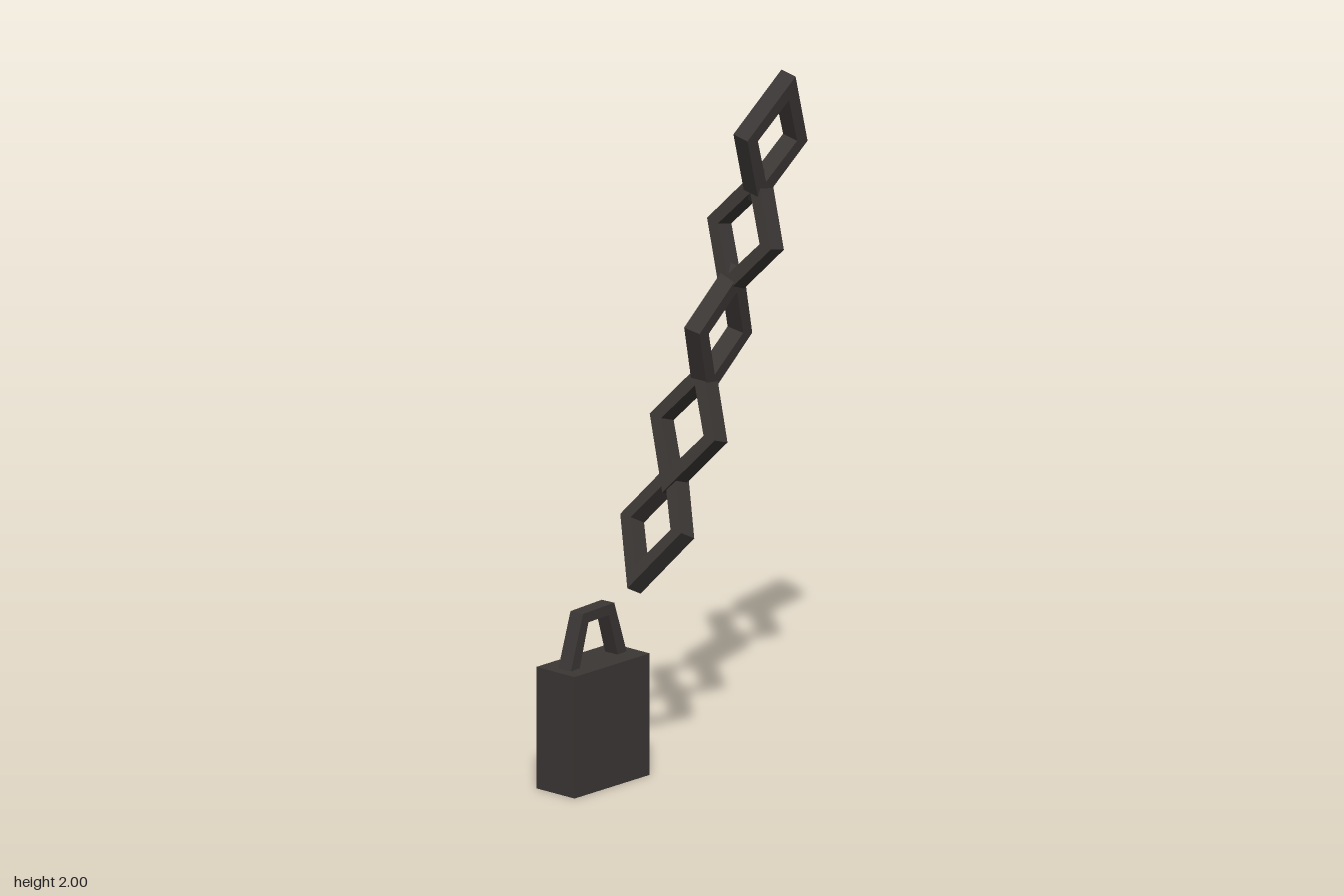
import * as THREE from 'three';

const iron = new THREE.MeshStandardMaterial({ color: 0x3b3735, flatShading: true });
const brass = new THREE.MeshStandardMaterial({ color: 0xa08038, flatShading: true });

function addMesh(parent, name, geometry, material) {
  const mesh = new THREE.Mesh(geometry, material);
  mesh.name = name;
  parent.add(mesh);
  return mesh;
}

function addBox(parent, name, size, position, material) {
  return addMesh(parent, name, new THREE.BoxGeometry(...size), material).position.set(...position);
}

// Straight extrusion centred on its own depth
function slab(shape, depth) {
  return new THREE.ExtrudeGeometry(shape, { depth, bevelEnabled: false }).translate(0, 0, -depth / 2);
}

function polygon(points) {
  return points.map(([x, y]) => new THREE.Vector2(x, y));
}

const diamond = (w, h) => polygon([[w, 0], [0, h], [-w, 0], [0, -h]]);

export function createModel() {
  const model = new THREE.Group();
  model.name = 'chainAndWeight';

  // Block-shaped weight with a brass plate on its side
  addBox(model, 'weightBody', [0.145, 0.355, 0.31], [-0.0975, 0.1775, 0.24], iron);
  addBox(model, 'sidePlate', [0.025, 0.18, 0.165], [-0.1725, 0.2, 0.2375], brass);

  // Three-sided carrying loop on top
  const loop = new THREE.Shape(polygon([
    [0.128, -0.01], [0.07, 0.155], [-0.07, 0.155], [-0.128, -0.01],
    [-0.088, -0.01], [-0.046, 0.125], [0.046, 0.125], [0.088, -0.01],
  ]));
  const handle = addMesh(model, 'topLoop', slab(loop, 0.045), iron);
  handle.position.set(-0.1, 0.355, 0.24);
  handle.rotation.y = -Math.PI / 2 + 0.07;

  // Diamond links: centre, long direction, side direction
  const linkShape = new THREE.Shape(diamond(0.127, 0.193));
  linkShape.holes.push(new THREE.Path(diamond(0.083, 0.122)));
  const linkGeometry = slab(linkShape, 0.056);
  const links = [
    [[-0.047, 0.71, 0.03], [0.015, 0.35, -0.18], [0.255, -0.01, 0.03]],
    [[-0.02, 0.98, -0.07], [0.04, 0.36, -0.12], [0.25, -0.04, 0.01]],
    [[0.017, 1.255, -0.152], [0.05, 0.37, -0.09], [0.025, 0.05, 0.235]],
    [[0.058, 1.53, -0.22], [0.06, 0.36, -0.08], [0.25, -0.04, 0.01]],
    [[0.107, 1.81, -0.27], [0.063, 0.37, -0.08], [0, 0.05, 0.24]],
  ];
  links.forEach(([centre, along, side], i) => {
    const up = new THREE.Vector3(...along).normalize();
    const normal = new THREE.Vector3(...side).cross(up).normalize();
    const across = up.clone().cross(normal);
    const link = addMesh(model, `chainLink${i + 1}`, linkGeometry, iron);
    link.quaternion.setFromRotationMatrix(new THREE.Matrix4().makeBasis(across, up, normal));
    link.position.set(...centre);
  });

  return model;
}
